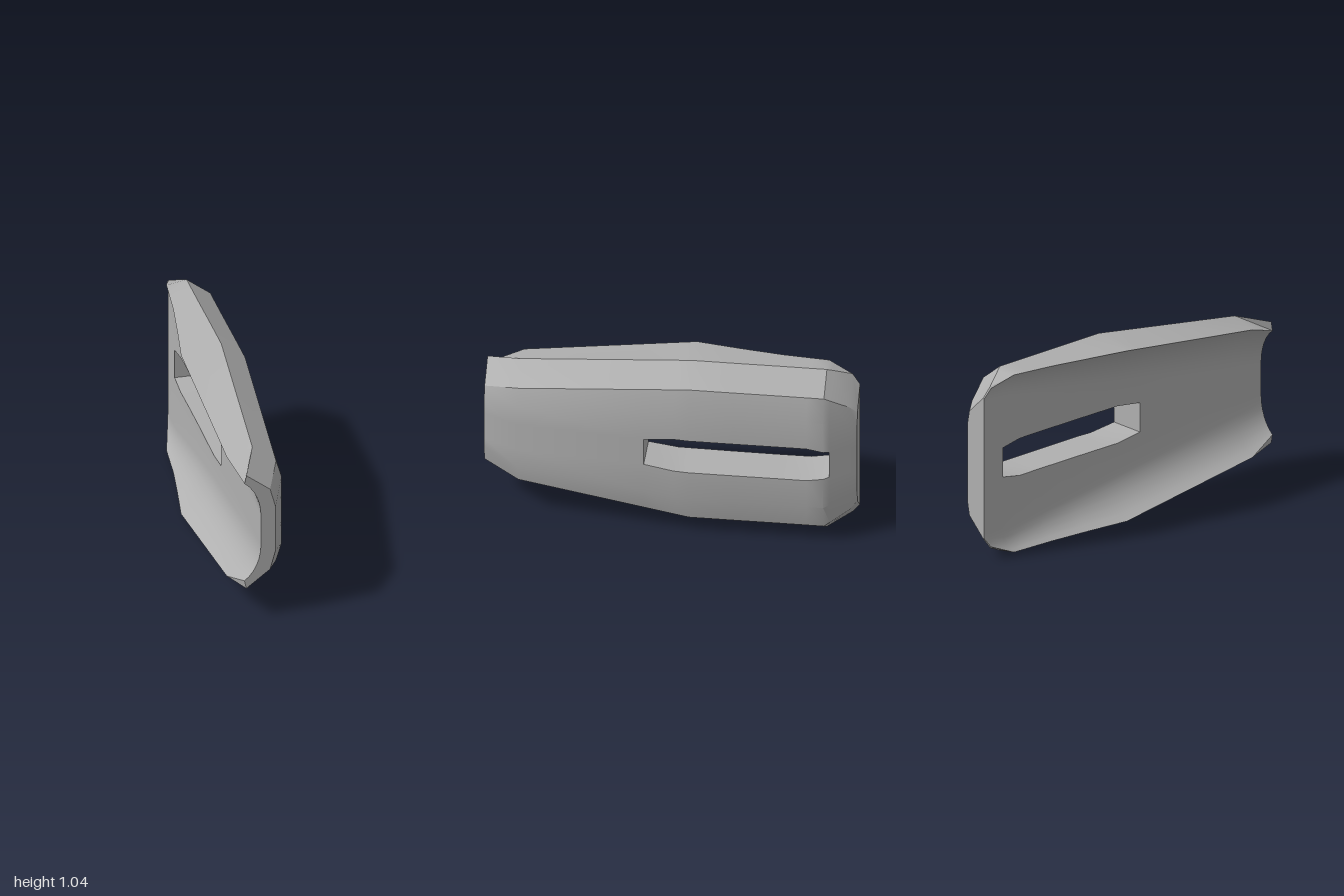
import * as THREE from 'three';
import { toCreasedNormals } from 'three/addons/utils/BufferGeometryUtils.js';

const MID = 0.5225; // height of the mirror plane

// Half sections along z: [z, then x,h pairs: groove start, tip, ridge, shoulder, outer flat]
const SECTIONS = [
  [1, -0.03, 0.09, -0.12, 0.295, -0.11, 0.343, 0.02, 0.243, 0.05, 0.133],
  [0.81, -0.03, 0.12, -0.17, 0.362, -0.03, 0.403, 0.1, 0.303, 0.13, 0.203],
  [-0.11, -0.03, 0.25, -0.19, 0.483, 0.03, 0.5225, 0.16, 0.423, 0.19, 0.28],
  [-0.35, -0.03, 0.29, -0.15, 0.489, 0.027, 0.5225, 0.157, 0.423, 0.187, 0.28],
  [-0.58, -0.032, 0.33, -0.115, 0.496, 0.023, 0.5225, 0.153, 0.423, 0.183, 0.28],
  [-0.83, -0.037, 0.375, -0.09, 0.503, 0.02, 0.5225, 0.15, 0.423, 0.18, 0.28],
  [-0.96, -0.04, 0.38, -0.053, 0.45, -0.045, 0.458, 0.097, 0.34, 0.112, 0.235],
  [-1, -0.04, 0.36, -0.041, 0.395, -0.035, 0.4, 0.075, 0.295, 0.09, 0.22],
];
// Slot outline: [z, half height]
const SLOT = [[0.13, 0.083], [-0.03, 0.105], [-0.74, 0.105], [-0.86, 0.083]];

// Linear lookup in a table sorted by falling z
function sample(table, z) {
  if (z >= table[0][0]) return table[0];
  for (let i = 1; i < table.length; i++) {
    const a = table[i - 1], b = table[i];
    if (z >= b[0]) return a.map((v, k) => THREE.MathUtils.lerp(v, b[k], (z - a[0]) / (b[0] - a[0])));
  }
  return table[table.length - 1];
}

// Upper half section from inner slot edge, round the groove and ridges, to outer slot edge
function halfSection(z) {
  const [, fx, fh, tx, th, ax, ah, bx, bh, cx, ch] = sample(SECTIONS, z);
  const s = sample(SLOT, z)[1];
  const pts = [[fx, s]];
  const steps = 6, end = Math.PI / 3;
  for (let i = 0; i <= steps; i++) {
    const t = (end * i) / steps;
    pts.push([
      fx + ((tx - fx) * (1 - Math.cos(t))) / (1 - Math.cos(end)),
      fh + ((th - fh) * Math.sin(t)) / Math.sin(end),
    ]);
  }
  pts.push([ax, ah], [bx, bh], [cx, ch], [cx, s]);
  return pts;
}

function plateGeometry() {
  const zs = [...SECTIONS, ...SLOT].map((r) => r[0]).sort((a, b) => b - a);
  const upper = zs.map((z) => halfSection(z).map(([x, h]) => new THREE.Vector3(x, MID + h, z)));
  const lower = upper.map((r) => r.map((p) => new THREE.Vector3(p.x, 2 * MID - p.y, p.z)));
  const n = upper[0].length, last = n - 1;
  const pos = [];
  const tri = (...ps) => ps.forEach((p) => pos.push(p.x, p.y, p.z));
  const quad = (a, b, c, d) => { tri(a, b, c); tri(a, c, d); };

  for (let i = 0; i < zs.length - 1; i++) {
    const u = upper[i], v = upper[i + 1], l = lower[i], m = lower[i + 1];
    // Skin above and below the slot
    for (let j = 0; j < last; j++) {
      quad(u[j], u[j + 1], v[j + 1], v[j]);
      quad(l[j + 1], l[j], m[j], m[j + 1]);
    }
    const inSlot = zs[i] <= SLOT[0][0] && zs[i + 1] >= SLOT[3][0];
    if (inSlot) {
      // Slot roof and floor
      quad(u[last], u[0], v[0], v[last]);
      quad(l[0], l[last], m[last], m[0]);
    } else {
      // Solid middle band, outside and inside
      quad(u[last], l[last], m[last], v[last]);
      quad(l[0], u[0], v[0], m[0]);
    }
  }

  // Slot end walls
  const f = zs.indexOf(SLOT[0][0]), b = zs.indexOf(SLOT[3][0]);
  quad(upper[f][0], upper[f][last], lower[f][last], lower[f][0]);
  quad(upper[b][last], upper[b][0], lower[b][0], lower[b][last]);

  // Front and back end faces
  for (const i of [0, zs.length - 1]) {
    const ring = [...upper[i], ...[...lower[i]].reverse()].reverse();
    const faces = THREE.ShapeUtils.triangulateShape(ring.map((p) => new THREE.Vector2(p.x, p.y)), []);
    for (const [p, q, r] of faces) {
      if (i === 0) tri(ring[p], ring[q], ring[r]);
      else tri(ring[r], ring[q], ring[p]);
    }
  }

  const geo = new THREE.BufferGeometry();
  geo.setAttribute('position', new THREE.Float32BufferAttribute(pos, 3));
  return toCreasedNormals(geo, THREE.MathUtils.degToRad(30));
}

export function createModel() {
  const group = new THREE.Group();
  group.name = 'slottedGuard';
  const grey = new THREE.MeshStandardMaterial({ color: 0xb0b0b0 });
  grey.name = 'plainGrey';
  const plate = new THREE.Mesh(plateGeometry(), grey);
  plate.name = 'slottedPlate';
  group.add(plate);
  return group;
}
